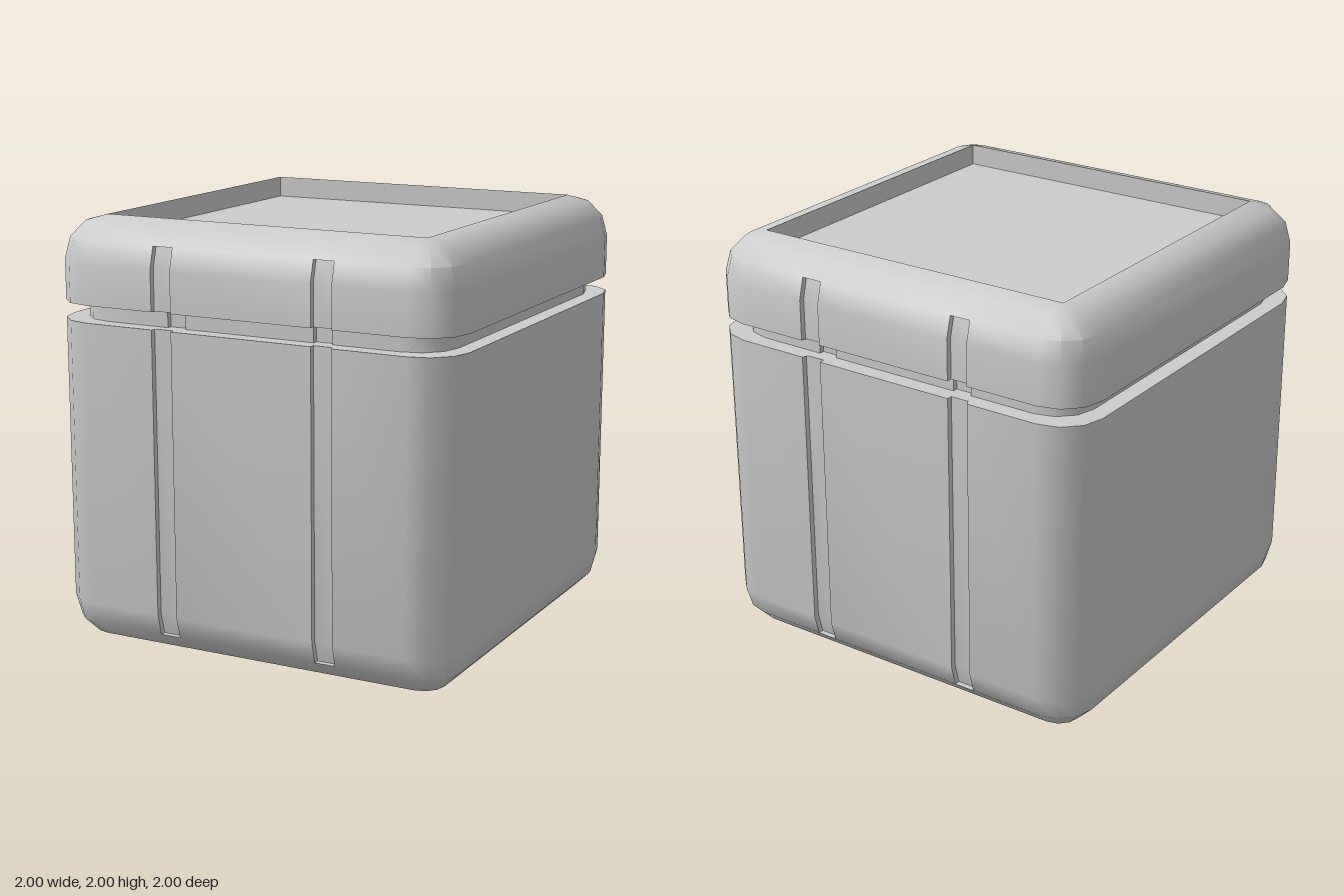
import * as THREE from 'three';
import { toCreasedNormals } from 'three/addons/utils/BufferGeometryUtils.js';

const CORE = 0.8;          // half width of the square inside the rounded corners
const DEPTH = 0.027;       // depth of the vertical grooves
const RECESS = 0.1;        // depth of the top and bottom panels
const SEGMENTS = 3;        // facets per rounded corner
const NECK = 0.92;         // the neck is the same outline, scaled down

// One horizontal outline: a rounded square with two grooves front and back.
function outline({ y, r, d = 0, s = 1 }) {
  const points = [];
  const add = (x, z) => points.push(new THREE.Vector3(x * s, y, z * s));
  const corner = (sx, sz, start) => {
    for (let i = 0; i <= SEGMENTS; i++) {
      const a = start + (i / SEGMENTS) * Math.PI / 2;
      add(sx * CORE + r * Math.cos(a), sz * CORE + r * Math.sin(a));
    }
  };
  const grooves = (side) => {
    const outer = CORE + r;
    for (const x of [0.4, -0.4]) {
      add(side * (x + 0.05), side * outer);
      add(side * (x + 0.05), side * (outer - d));
      add(side * (x - 0.05), side * (outer - d));
      add(side * (x - 0.05), side * outer);
    }
  };
  corner(1, 1, 0);
  grooves(1);
  corner(-1, 1, Math.PI / 2);
  corner(-1, -1, Math.PI);
  grooves(-1);
  corner(1, -1, Math.PI * 1.5);
  return points;
}

// Skin a stack of outlines, optionally closing the first or last one.
function loft(name, levels, { capStart = false, capEnd = false } = {}) {
  const rings = levels.map(outline);
  const positions = [];
  const triangle = (a, b, c) => {
    if (new THREE.Triangle(a, b, c).getArea() < 1e-7) return;
    for (const p of [a, b, c]) positions.push(p.x, p.y, p.z);
  };
  const n = rings[0].length;
  for (let j = 0; j < rings.length - 1; j++) {
    for (let i = 0; i < n; i++) {
      const k = (i + 1) % n;
      triangle(rings[j][i], rings[j + 1][i], rings[j + 1][k]);
      triangle(rings[j][i], rings[j + 1][k], rings[j][k]);
    }
  }
  const cap = (ring, up) => {
    const centre = new THREE.Vector3(0, ring[0].y, 0);
    for (let i = 0; i < n; i++) {
      const k = (i + 1) % n;
      if (up) triangle(centre, ring[k], ring[i]);
      else triangle(centre, ring[i], ring[k]);
    }
  };
  if (capStart) cap(rings[0], false);
  if (capEnd) cap(rings[rings.length - 1], true);

  const geometry = new THREE.BufferGeometry();
  geometry.setAttribute('position', new THREE.Float32BufferAttribute(positions, 3));
  const material = new THREE.MeshStandardMaterial({ color: 0xcccccc });
  const mesh = new THREE.Mesh(toCreasedNormals(geometry, 0.65), material);
  mesh.name = name;
  return mesh;
}

export function createModel() {
  const group = new THREE.Group();
  group.name = 'lidded box';

  // Rounded edge from the recessed panel out to the side wall; h = height from the end.
  const edge = [
    { h: RECESS, r: 0 },
    { h: 0, r: 0 },
    { h: 0.027, r: 0.1 },
    { h: 0.1, r: 0.173 },
    { h: 0.1, r: 0.173, d: DEPTH },
    { h: 0.2, r: 0.2, d: DEPTH },
  ];
  const wall = { r: 0.2, d: DEPTH };
  const inner = { ...wall, s: NECK };

  // Lower box with its recessed base and top ledge
  group.add(loft('body', [
    ...edge.map((e) => ({ ...e, y: e.h })),
    { ...wall, y: 1.53 },
    { ...inner, y: 1.53 },
  ], { capStart: true }));

  // Narrow neck in the gap under the lid
  group.add(loft('neck', [{ ...inner, y: 1.53 }, { ...inner, y: 1.61 }]));

  // Lid with its underside ledge and recessed top panel
  group.add(loft('lid', [
    { ...inner, y: 1.61 },
    { ...wall, y: 1.61 },
    ...edge.map((e) => ({ ...e, y: 2 - e.h })).reverse(),
  ], { capEnd: true }));

  return group;
}
